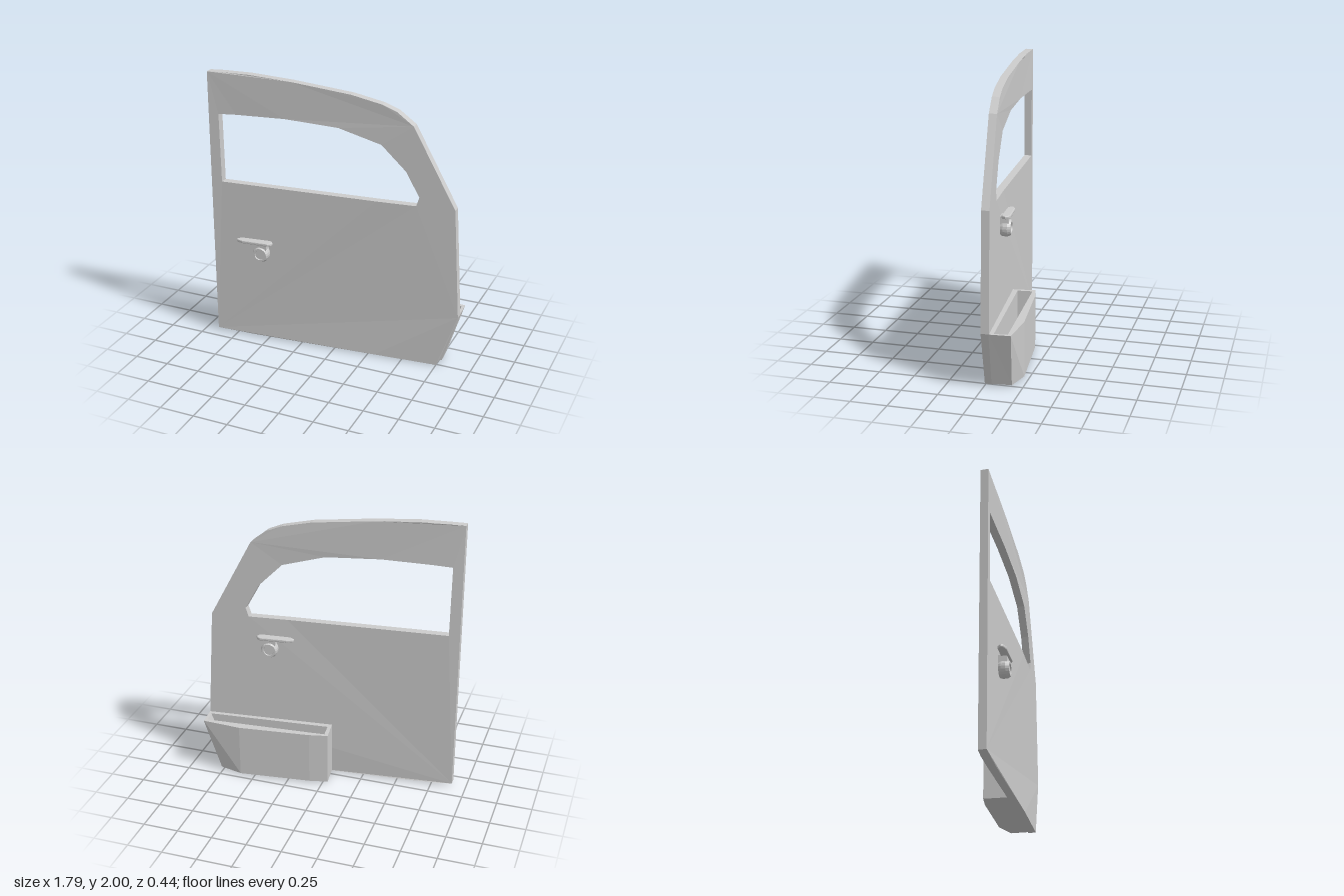
import * as THREE from 'three';

const material = new THREE.MeshStandardMaterial({ color: 0xcccccc, flatShading: true });
const smooth = new THREE.MeshStandardMaterial({ color: 0xcccccc });
const vectors = (points) => points.map(([x, y]) => new THREE.Vector2(x, y));

function addMesh(parent, name, geometry, mat = material) {
  const mesh = new THREE.Mesh(geometry, mat);
  mesh.name = name;
  parent.add(mesh);
  return mesh;
}

// Depth of the door's outer skin, bending gently back towards +x
const THICKNESS = 0.055;
const BEND = [[-0.9, 0.172], [-0.8, 0.158], [0.3, 0.06], [0.89, -0.008]];
function skinZ(x) {
  let i = 0;
  while (i < BEND.length - 2 && x > BEND[i + 1][0]) i++;
  const [x0, z0] = BEND[i], [x1, z1] = BEND[i + 1];
  return z0 + (z1 - z0) * (x - x0) / (x1 - x0);
}

// Door panel with a window opening
function doorPanel() {
  const shape = new THREE.Shape(vectors([
    [-0.9, 0.02], [-0.8, 0.015], [-0.62, 0.01], [0.3, 0.007], [0.75, 0], [0.89, 0.4],
    [0.84, 1.2], [0.545, 1.76], [0.43, 1.85], [0.33, 1.89], [0.12, 1.935],
    [-0.3, 1.98], [-0.6, 2], [-0.8, 2], [-0.9, 1.997],
  ]));
  shape.holes.push(new THREE.Path(vectors([
    [-0.83, 1.7], [-0.7, 1.707], [-0.35, 1.715], [0.03, 1.695], [0.33, 1.61],
    [0.5, 1.44], [0.595, 1.265], [0.575, 1.2], [0.3, 1.2], [-0.825, 1.2],
  ])));
  const geometry = new THREE.ExtrudeGeometry(shape, { depth: THICKNESS, bevelEnabled: false });
  const p = geometry.attributes.position;
  for (let i = 0; i < p.count; i++) p.setZ(i, p.getZ(i) - THICKNESS + skinZ(p.getX(i)));
  geometry.computeVertexNormals();
  return geometry;
}

// Skin through stacked loops of [x, z] points, closed at both ends
function loft(loops) {
  const n = loops[0].points.length;
  const positions = loops.flatMap(({ y, points }) => points.flatMap(([x, z]) => [x, y, z]));
  const index = [];
  for (let k = 0; k < loops.length - 1; k++) {
    for (let i = 0; i < n; i++) {
      const a = k * n + i, b = k * n + (i + 1) % n;
      index.push(a, a + n, b + n, a, b + n, b);
    }
  }
  const last = (loops.length - 1) * n;
  for (let i = 1; i < n - 1; i++) {
    index.push(0, i, i + 1);
    index.push(last, last + i + 1, last + i);
  }
  const geometry = new THREE.BufferGeometry();
  geometry.setAttribute('position', new THREE.Float32BufferAttribute(positions, 3));
  geometry.setIndex(index);
  const flat = geometry.toNonIndexed();
  flat.computeVertexNormals();
  return flat;
}

// Open storage pocket with a sloping end
function pocket() {
  const outer = [[-0.02, 0.03], [-0.04, -0.13], [0.09, -0.16], [0.6, -0.22]];
  const inner = [[0, -0.01], [-0.01, -0.115], [0.1, -0.124], [0.6, -0.161]];
  return loft([
    { y: 0.015, points: [...outer, [0.765, -0.18], [0.775, -0.045]] },
    { y: 0.4, points: [...outer, [0.88, -0.205], [0.89, -0.06]] },
    { y: 0.4, points: [...inner, [0.86, -0.18], [0.87, -0.09]] },
    { y: 0.04, points: [...inner, [0.73, -0.17], [0.735, -0.077]] },
  ]);
}

// Handle: round boss, neck and a flat pointed lever; side is +1 outside, -1 inside
function handle(name, side) {
  const group = new THREE.Group();
  group.name = name;

  const boss = new THREE.LatheGeometry(vectors([
    [0.05, -0.01], [0.06, 0.02], [0.06, 0.05], [0.05, 0.073],
    [0.036, 0.073], [0.034, 0.064], [0, 0.064],
  ]), 20);
  boss.rotateX(side * Math.PI / 2);
  addMesh(group, name + 'Boss', boss);

  const neck = new THREE.BoxGeometry(0.09, 0.06, 0.065);
  neck.translate(0, 0.055, side * 0.0275);
  addMesh(group, name + 'Neck', neck);

  const lever = new THREE.Shape(vectors([
    [-0.18, 0.045], [-0.15, 0.02], [0.06, 0.014], [0.08, 0.025], [0.09, 0.045],
    [0.08, 0.065], [0.06, 0.076], [-0.13, 0.076], [-0.17, 0.062],
  ].map(([x, z]) => [x, -side * z])));
  const bar = new THREE.ExtrudeGeometry(lever, {
    depth: 0.01, bevelThickness: 0.006, bevelSize: 0.006, bevelOffset: -0.006, bevelSegments: 2,
  });
  bar.rotateX(-Math.PI / 2);
  bar.translate(0, 0.083, 0);
  addMesh(group, name + 'Lever', bar);
  return group;
}

export function createModel() {
  const model = new THREE.Group();
  model.name = 'vehicleDoor';
  addMesh(model, 'doorPanel', doorPanel(), smooth);
  addMesh(model, 'storagePocket', pocket(), smooth);

  const outside = handle('outsideHandle', 1);
  outside.position.set(-0.53, 0.7, skinZ(-0.53));
  outside.rotation.y = 0.09;
  model.add(outside);

  const inside = handle('insideHandle', -1);
  inside.position.set(0.42, 0.98, skinZ(0.42) - THICKNESS);
  inside.rotation.y = 0.11;
  model.add(inside);
  return model;
}
